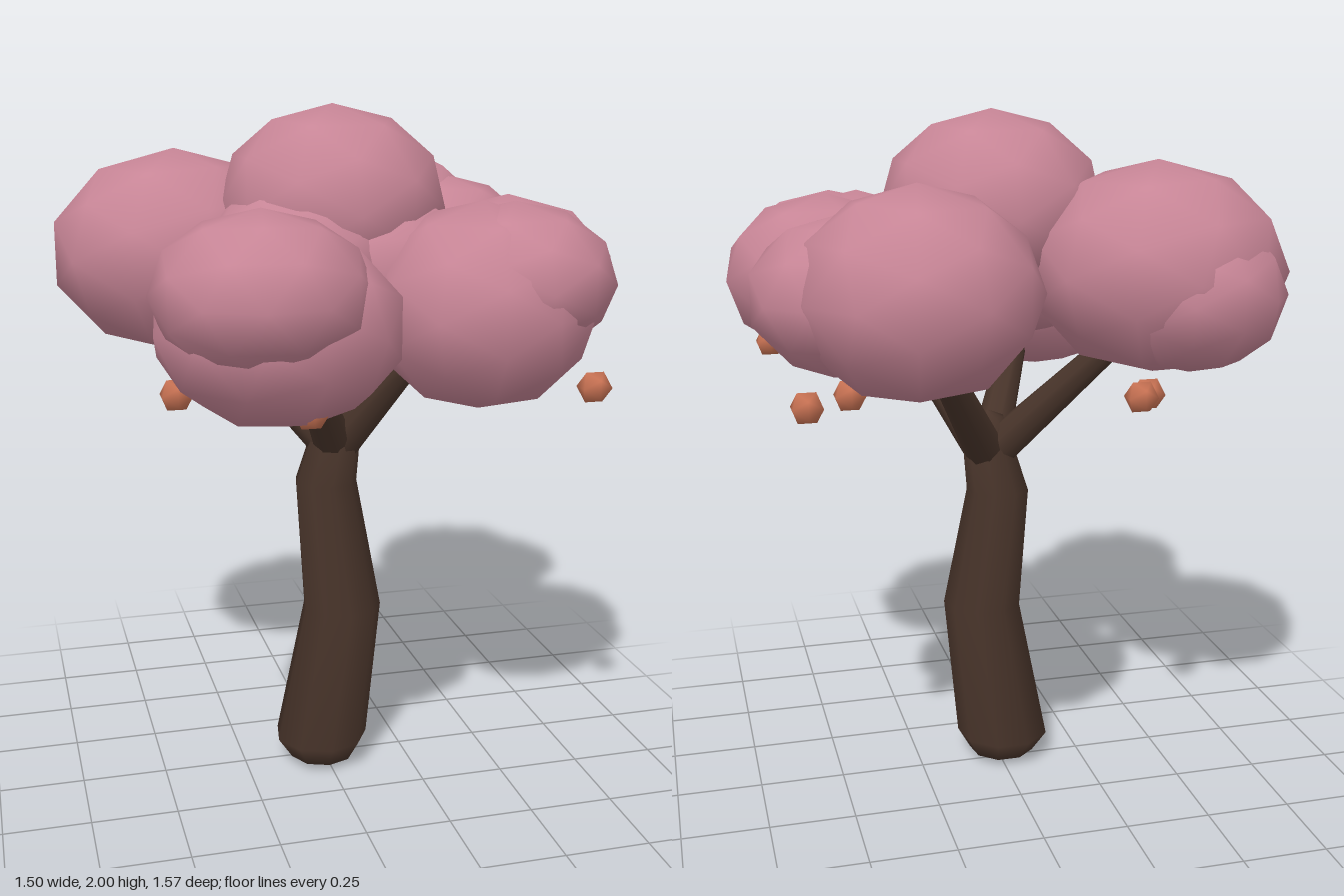
import * as THREE from 'three';

const bark = new THREE.MeshStandardMaterial({ color: 0x48342a });
bark.name = 'dark bark';
const blossom = new THREE.MeshStandardMaterial({ color: 0xc78596 });
blossom.name = 'pink blossom';
const fruitSkin = new THREE.MeshStandardMaterial({ color: 0xca7354 });
fruitSkin.name = 'orange fruit';

// Low-poly ball with smooth shading
function smoothBall(radius, detail) {
  const geometry = new THREE.IcosahedronGeometry(radius, detail);
  geometry.setAttribute('normal', geometry.attributes.position.clone());
  geometry.normalizeNormals();
  return geometry;
}

export function createModel() {
  const tree = new THREE.Group();
  tree.name = 'tree';

  const add = (geometry, material, name, parent = tree) => {
    const mesh = new THREE.Mesh(geometry, material);
    mesh.name = name;
    parent.add(mesh);
    return mesh;
  };

  // Trunk rings: radius, height, x shift, z shift
  const rings = [
    [0.001, 0.005, -0.01, 0.03], [0.1, 0.025, -0.012, 0.03], [0.141, 0.09, -0.015, 0.028],
    [0.118, 0.52, 0.045, 0.05], [0.093, 0.9, 0.01, -0.008], [0.077, 1.03, 0.035, 0],
    [0.05, 1.12, 0.04, 0], [0.001, 1.14, 0.04, 0],
  ];
  const trunk = new THREE.LatheGeometry(rings.map(([r, y]) => new THREE.Vector2(r, y)), 9);
  const p = trunk.attributes.position;
  for (let i = 0; i < p.count; i++) {
    const [, , dx, dz] = rings[i % rings.length];
    p.setX(i, p.getX(i) + dx);
    p.setZ(i, p.getZ(i) + dz);
  }
  add(trunk, bark, 'trunk');

  // Four tapered branches fanning out of the trunk top
  const branches = new THREE.Group();
  branches.name = 'branches';
  tree.add(branches);
  const up = new THREE.Vector3(0, 1, 0);
  for (const [x, y, z] of [[0.27, 1.39, 0.22], [-0.14, 1.38, 0.29], [-0.32, 1.4, -0.2], [0.27, 1.4, -0.32]]) {
    const tip = new THREE.Vector3(x, y, z);
    const root = new THREE.Vector3(0.035 + x * 0.08, 1.03, z * 0.08);
    const dir = tip.clone().sub(root);
    const branch = add(new THREE.CylinderGeometry(0.036, 0.058, dir.length(), 8), bark, 'branch', branches);
    branch.position.copy(root).add(tip).multiplyScalar(0.5);
    branch.quaternion.setFromUnitVectors(up, dir.normalize());
  }

  // Foliage clumps: centre x, y, z, then horizontal and vertical radius
  const foliage = new THREE.Group();
  foliage.name = 'foliage';
  tree.add(foliage);
  const clumps = [
    [0.02, 1.72, 0.03, 0.32, 0.275], [-0.1, 1.57, 0.12, 0.285, 0.225], [0.14, 1.55, 0.13, 0.26, 0.215],
    [-0.39, 1.575, -0.215, 0.36, 0.29], [-0.45, 1.52, -0.34, 0.255, 0.215],
    [0.335, 1.57, -0.48, 0.315, 0.27], [0.48, 1.555, -0.36, 0.27, 0.21],
    [0.47, 1.52, 0.23, 0.295, 0.235], [0.36, 1.47, 0.335, 0.315, 0.28], [0.44, 1.54, 0.36, 0.275, 0.21],
    [-0.22, 1.45, 0.4, 0.33, 0.26], [-0.285, 1.555, 0.505, 0.28, 0.21],
  ];
  const ball = smoothBall(1.02, 1);
  clumps.forEach(([x, y, z, r, h], i) => {
    const clump = add(ball, blossom, 'foliageClump', foliage);
    clump.position.set(x, y, z);
    clump.scale.set(r, h, r);
    clump.rotation.y = i * 0.7;
  });

  // Small fruits hanging under the foliage
  const fruits = new THREE.Group();
  fruits.name = 'fruits';
  tree.add(fruits);
  const berry = smoothBall(0.048, 0);
  for (const [x, y, z] of [
    [-0.28, 1.26, -0.43], [-0.31, 1.26, -0.4], [-0.48, 1.27, 0.33], [-0.175, 1.26, 0.57],
    [0.61, 1.27, -0.37], [0.48, 1.265, -0.24], [0.2, 1.26, -0.06], [0.62, 1.27, 0.52],
  ]) add(berry, fruitSkin, 'fruit', fruits).position.set(x, y, z);

  return tree;
}
